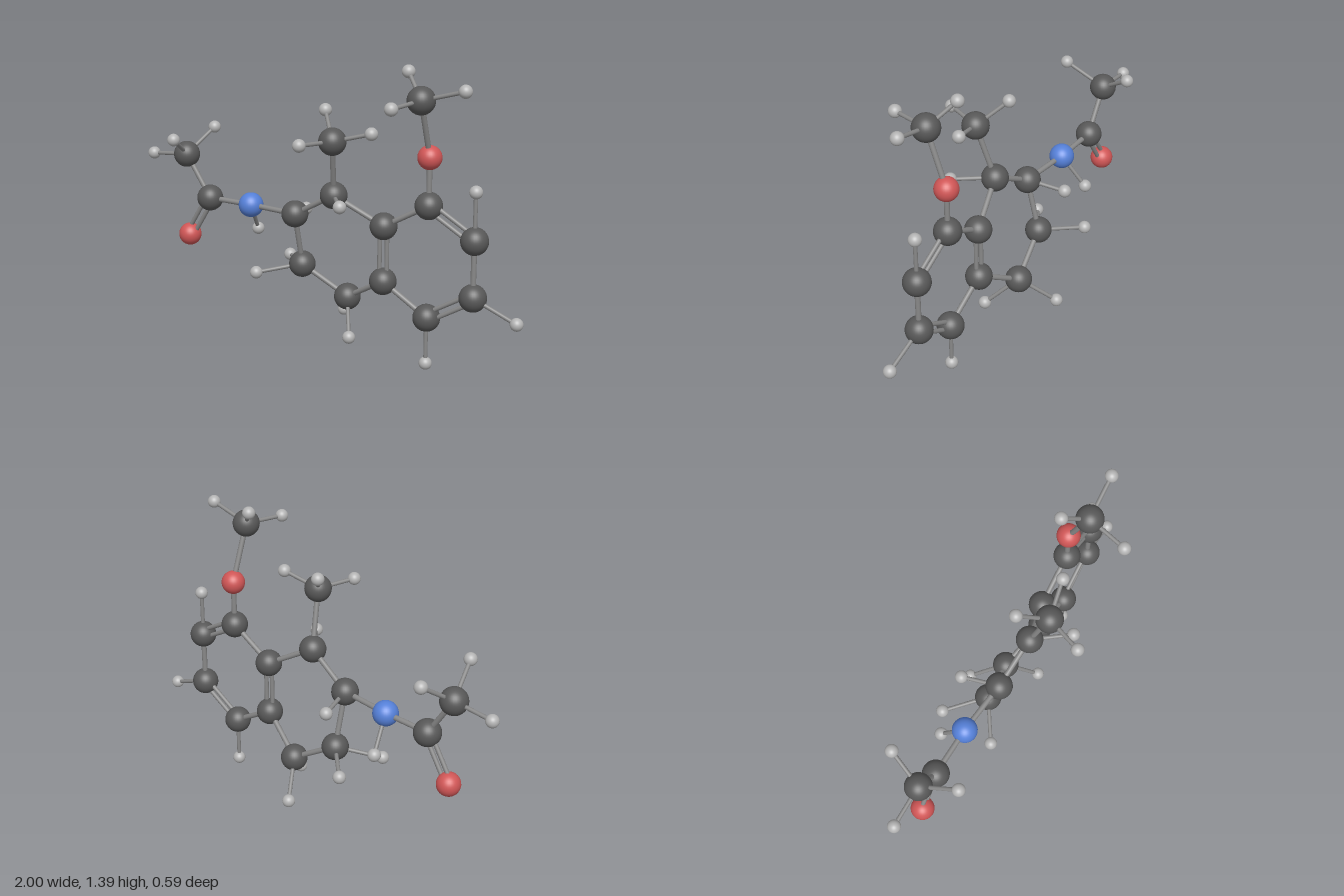
import * as THREE from 'three';

// Element styles: sphere radius and colour
const ELEMENTS = {
  C: { name: 'carbon', radius: 0.063, color: 0x585858 },
  H: { name: 'hydrogen', radius: 0.03, color: 0xb4b4b4 },
  O: { name: 'oxygen', radius: 0.055, color: 0xd05656 },
  N: { name: 'nitrogen', radius: 0.059, color: 0x5580d8 },
};

// Heavy atoms: element and position
const ATOMS = {
  acetylMethyl: ['C', -0.772, 0.85, -0.04],
  carbonyl: ['C', -0.643, 0.647, -0.045],
  carbonylOxygen: ['O', -0.772, 0.443, -0.05],
  amide: ['N', -0.403, 0.647, -0.04],
  ring2: ['C', -0.142, 0.647, -0.015],
  ring3: ['C', -0.142, 0.385, -0.08],
  ring4: ['C', 0.083, 0.251, -0.118],
  ring4a: ['C', 0.307, 0.385, -0.05],
  ring8a: ['C', 0.307, 0.647, -0.05],
  ring1: ['C', 0.083, 0.775, 0.013],
  ringMethyl: ['C', 0.12, 1.044, 0.09],
  ring8: ['C', 0.531, 0.775, -0.05],
  ring7: ['C', 0.756, 0.647, -0.05],
  ring6: ['C', 0.756, 0.385, -0.05],
  ring5: ['C', 0.531, 0.251, -0.05],
  etherOxygen: ['O', 0.531, 0.994, -0.05],
  etherMethyl: ['C', 0.531, 1.263, 0.045],
};

// Hydrogens listed under the atom that carries them
const HYDROGENS = {
  acetylMethyl: [[-0.97, 0.832, -0.04], [-0.718, 0.96, -0.2], [-0.718, 0.96, 0.136]],
  amide: [[-0.438, 0.497, -0.154]],
  ring2: [[-0.187, 0.625, -0.192]],
  ring3: [[-0.323, 0.346, 0.043], [-0.307, 0.363, -0.236]],
  ring4: [[-0.019, 0.123, -0.265], [0.168, 0.106, 0.017]],
  ring1: [[0.206, 0.775, 0.173]],
  ringMethyl: [[0.019, 1.157, -0.021], [0.296, 1.091, 0.053], [0.056, 1.053, 0.267]],
  etherMethyl: [[0.425, 1.366, -0.04], [0.732, 1.32, 0.035], [0.489, 1.255, 0.239]],
  ring7: [[0.756, 0.868, -0.05]],
  ring6: [[0.967, 0.302, -0.05]],
  ring5: [[0.531, 0.031, -0.05]],
};

const SINGLE = [
  ['acetylMethyl', 'carbonyl'], ['carbonyl', 'amide'], ['amide', 'ring2'],
  ['ring2', 'ring3'], ['ring3', 'ring4'], ['ring4', 'ring4a'], ['ring8a', 'ring1'],
  ['ring1', 'ring2'], ['ring1', 'ringMethyl'], ['ring8a', 'ring8'], ['ring7', 'ring6'],
  ['ring5', 'ring4a'], ['ring8', 'etherOxygen'], ['etherOxygen', 'etherMethyl'],
];
const DOUBLE = [
  ['carbonyl', 'carbonylOxygen'], ['ring4a', 'ring8a'], ['ring8', 'ring7'], ['ring6', 'ring5'],
];

export function createModel() {
  const model = new THREE.Group();
  model.name = 'molecule';
  const atoms = new THREE.Group();
  atoms.name = 'atoms';
  const bonds = new THREE.Group();
  bonds.name = 'bonds';
  model.add(atoms, bonds);

  const spheres = {};
  for (const [key, { radius, color }] of Object.entries(ELEMENTS)) {
    spheres[key] = {
      geometry: new THREE.SphereGeometry(radius, 32, 20),
      material: new THREE.MeshStandardMaterial({ color }),
    };
  }
  const bondMaterial = new THREE.MeshStandardMaterial({ color: 0x888888 });
  const up = new THREE.Vector3(0, 1, 0);

  function addAtom(element, position, label) {
    const { geometry, material } = spheres[element];
    const mesh = new THREE.Mesh(geometry, material);
    mesh.position.copy(position);
    mesh.name = `${label} ${ELEMENTS[element].name}`;
    atoms.add(mesh);
  }

  // A rod from a to b, optionally shifted sideways
  function addBond(a, b, radius, name, shift = new THREE.Vector3()) {
    const dir = b.clone().sub(a);
    const mesh = new THREE.Mesh(
      new THREE.CylinderGeometry(radius, radius, dir.length(), 16), bondMaterial);
    mesh.position.copy(a).add(b).multiplyScalar(0.5).add(shift);
    mesh.quaternion.setFromUnitVectors(up, dir.normalize());
    mesh.name = name;
    bonds.add(mesh);
  }

  // Heavy atoms
  const at = {};
  for (const [label, [element, x, y, z]] of Object.entries(ATOMS)) {
    at[label] = new THREE.Vector3(x, y, z);
    addAtom(element, at[label], label);
  }

  // Hydrogens with their thin bonds
  for (const [label, list] of Object.entries(HYDROGENS)) {
    for (const p of list) {
      const position = new THREE.Vector3(...p);
      addAtom('H', position, label);
      addBond(at[label], position, 0.0095, 'hydrogenBondRod');
    }
  }

  // Single bonds
  for (const [a, b] of SINGLE) addBond(at[a], at[b], 0.0125, 'singleBond');

  // Double bonds: two parallel rods side by side in the front plane
  for (const [a, b] of DOUBLE) {
    const d = at[b].clone().sub(at[a]);
    const side = new THREE.Vector3(-d.y, d.x, 0).setLength(0.0185);
    for (const s of [-1, 1]) {
      addBond(at[a], at[b], 0.0105, 'doubleBond', side.clone().multiplyScalar(s));
    }
  }
  return model;
}
